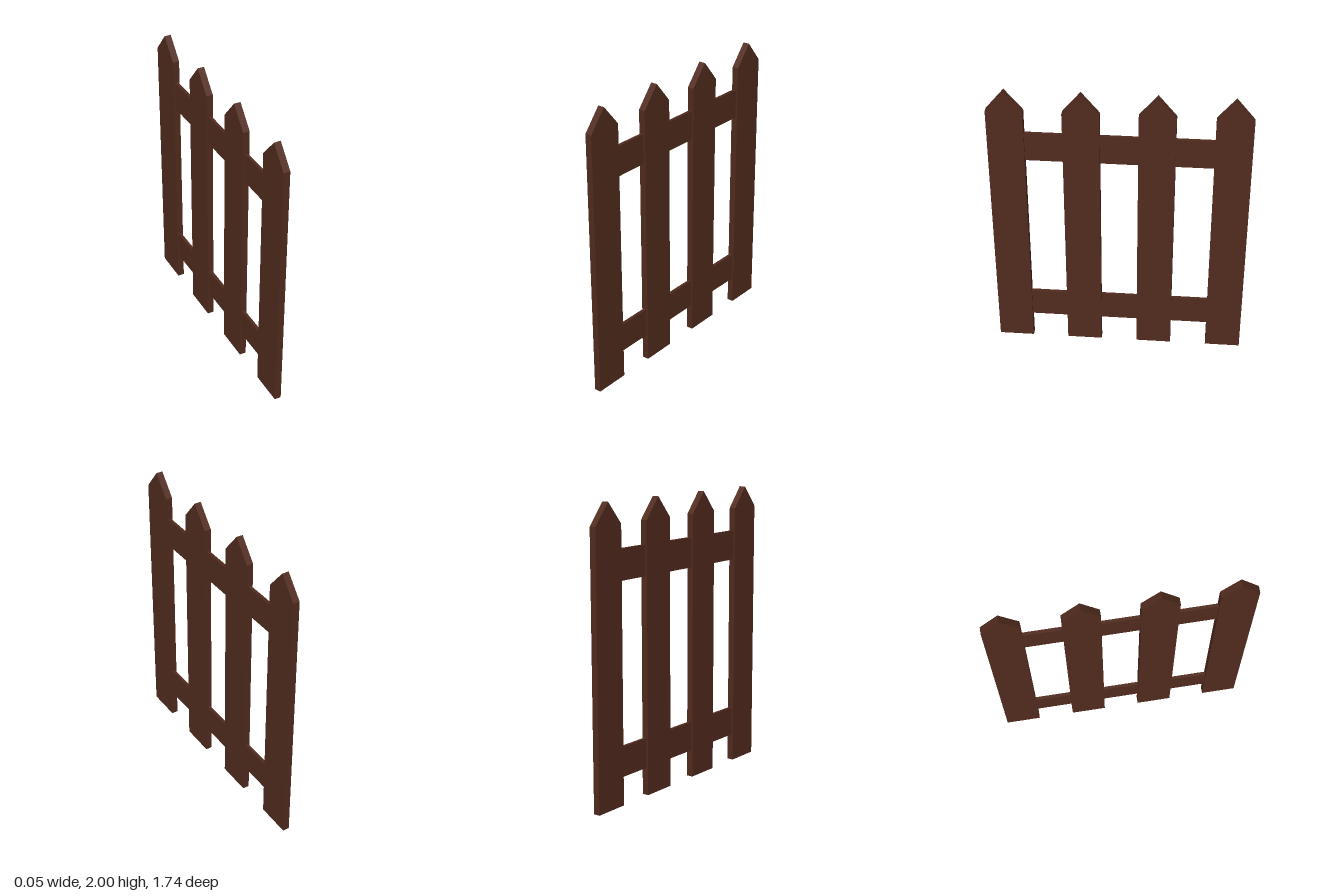
import * as THREE from 'three';

const WIDTH = 0.245, THICKNESS = 0.046, SHOULDER = 1.855, TIP = 2;

// Upright board with a pointed top, its broad faces towards +x and -x
function picketGeometry() {
  const w = WIDTH / 2;
  const outline = new THREE.Shape([
    new THREE.Vector2(-w, 0),
    new THREE.Vector2(w, 0),
    new THREE.Vector2(w, SHOULDER),
    new THREE.Vector2(0, TIP),
    new THREE.Vector2(-w, SHOULDER),
  ]);
  return new THREE.ExtrudeGeometry(outline, { depth: THICKNESS, bevelEnabled: false })
    .translate(0, 0, -THICKNESS / 2)
    .rotateY(Math.PI / 2);
}

export function createModel() {
  const fence = new THREE.Group();
  fence.name = 'picketFence';
  const wood = new THREE.MeshStandardMaterial({ color: 0x522b1e });

  // Four evenly spaced pickets
  const picket = picketGeometry();
  [-0.747, -0.249, 0.249, 0.747].forEach((z, i) => {
    const mesh = new THREE.Mesh(picket, wood);
    mesh.name = `picket${i + 1}`;
    mesh.position.z = z;
    fence.add(mesh);
  });

  // Two thinner rails running through the pickets
  const rail = new THREE.BoxGeometry(0.022, 0.206, 1.48);
  for (const [name, y] of [['lowerRail', 0.294], ['upperRail', 1.593]]) {
    const mesh = new THREE.Mesh(rail, wood);
    mesh.name = name;
    mesh.position.y = y;
    fence.add(mesh);
  }

  return fence;
}
